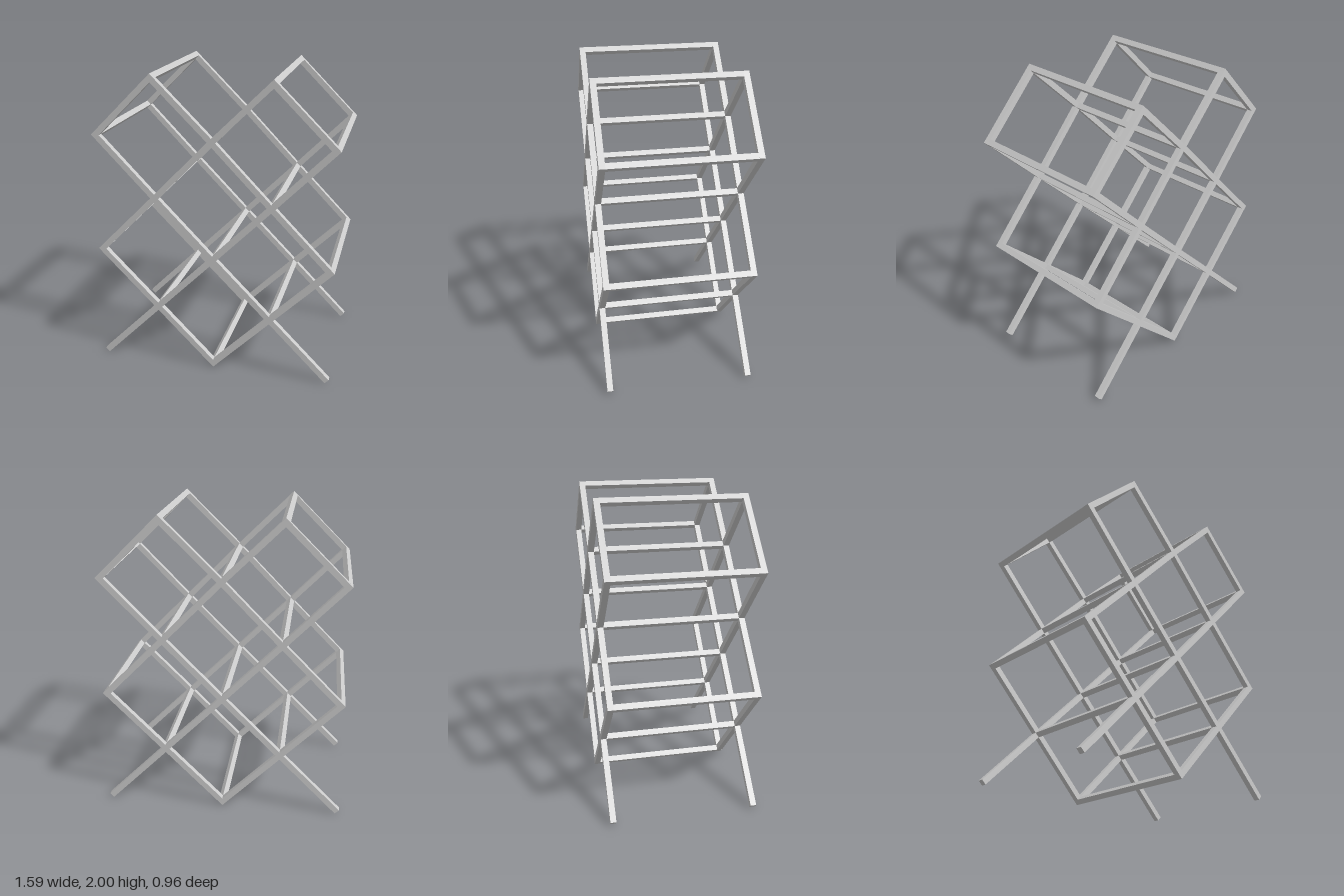
import * as THREE from 'three';

const T = 0.038;            // square bar thickness
const HALF_DEPTH = 0.482;   // outer half depth
const STEP = 0.384;         // horizontal node spacing
const LEVELS = [0.028, 0.417, 0.805, 1.197, 1.594, 1.973]; // node heights

const material = new THREE.MeshStandardMaterial({ color: 0xcccccc, flatShading: true });

// Nodes exist where column + row is odd, e.g. row 0 -> columns -2, 0, 2
const isNode = (col, row) =>
  Math.abs(col) <= 2 && row < LEVELS.length && (col + row) % 2 === 0;

// Square bar in the lattice plane, running past both nodes by half a thickness
function latticeBar(x0, y0, x1, y1) {
  const dx = x1 - x0, dy = y1 - y0;
  const bar = new THREE.Mesh(new THREE.BoxGeometry(Math.hypot(dx, dy) + T, T, T), material);
  bar.position.set((x0 + x1) / 2, (y0 + y1) / 2, 0);
  bar.rotation.z = Math.atan2(dy, dx);
  bar.name = 'latticeBar';
  return bar;
}

// One flat diagonal lattice
function lattice(name, z) {
  const group = new THREE.Group();
  group.name = name;
  group.position.z = z;
  for (let row = 0; row < LEVELS.length - 1; row++)
    for (let col = -2; col <= 2; col++)
      for (const side of [-1, 1])
        if (isNode(col, row) && isNode(col + side, row + 1))
          group.add(latticeBar(col * STEP, LEVELS[row], (col + side) * STEP, LEVELS[row + 1]));
  return group;
}

export function createModel() {
  const model = new THREE.Group();
  model.name = 'diamondRack';

  model.add(lattice('frontLattice', HALF_DEPTH - T / 2));
  model.add(lattice('backLattice', -HALF_DEPTH + T / 2));

  // Crossbars joining the lattices at every node except the free leg ends
  const rail = new THREE.BoxGeometry(T, T, 2 * (HALF_DEPTH - T));
  LEVELS.forEach((y, row) => {
    for (let col = -2; col <= 2; col++) {
      const legEnd = row === 0 && col !== 0;
      if (!isNode(col, row) || legEnd) continue;
      const bar = new THREE.Mesh(rail, material);
      bar.position.set(col * STEP, y, 0);
      bar.rotation.z = Math.PI / 4;
      bar.name = 'crossbar';
      model.add(bar);
    }
  });
  return model;
}
